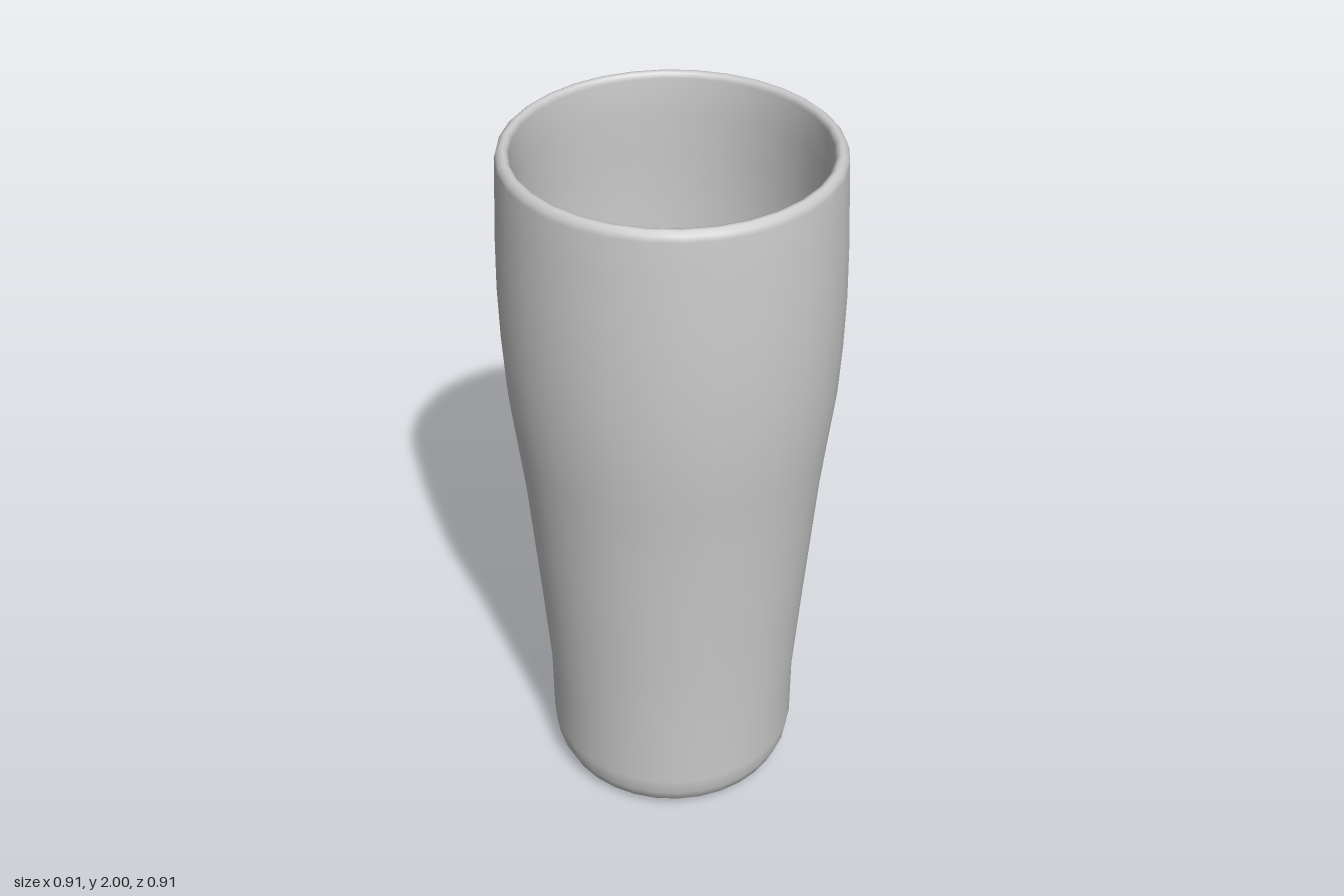
import * as THREE from 'three';

const SIDES = 32;
const WALL = 0.042;

export function createModel() {
  const group = new THREE.Group();
  group.name = 'tumbler';
  const material = new THREE.MeshStandardMaterial({ color: 0xcccccc });

  // Outer wall as [radius, height], from the heel to below the rim
  const wall = [
    [0.356, 0.13], [0.357, 0.32], [0.378, 0.6], [0.394, 0.8], [0.41, 1.0],
    [0.428, 1.16], [0.444, 1.3], [0.452, 1.45], [0.455, 1.6], [0.452, 1.75], [0.446, 1.88],
  ];
  // Flat underside and rounded heel
  const base = [
    [0, 0], [0.25, 0], [0.275, 0.002], [0.305, 0.013], [0.33, 0.035], [0.348, 0.075],
  ];
  // Rounded lip
  const lip = [
    [0.442, 1.975], [0.438, 1.99], [0.428, 1.999], [0.42, 2], [0.412, 1.997], [0.405, 1.985],
  ];
  // Inner wall follows the outer one at a constant thickness
  const inner = wall.map(([r, y]) => [r - WALL, y]).reverse();
  const floor = [
    [0.31, 0.075], [0.301, 0.056], [0.283, 0.046], [0.265, 0.044], [0, 0.044],
  ];

  const profile = [...base, ...wall, ...lip, ...inner, ...floor].map(
    ([r, y]) => new THREE.Vector2(r, y)
  );
  const cup = new THREE.Mesh(new THREE.LatheGeometry(profile, SIDES), material);
  cup.name = 'cupBody';
  group.add(cup);
  return group;
}
